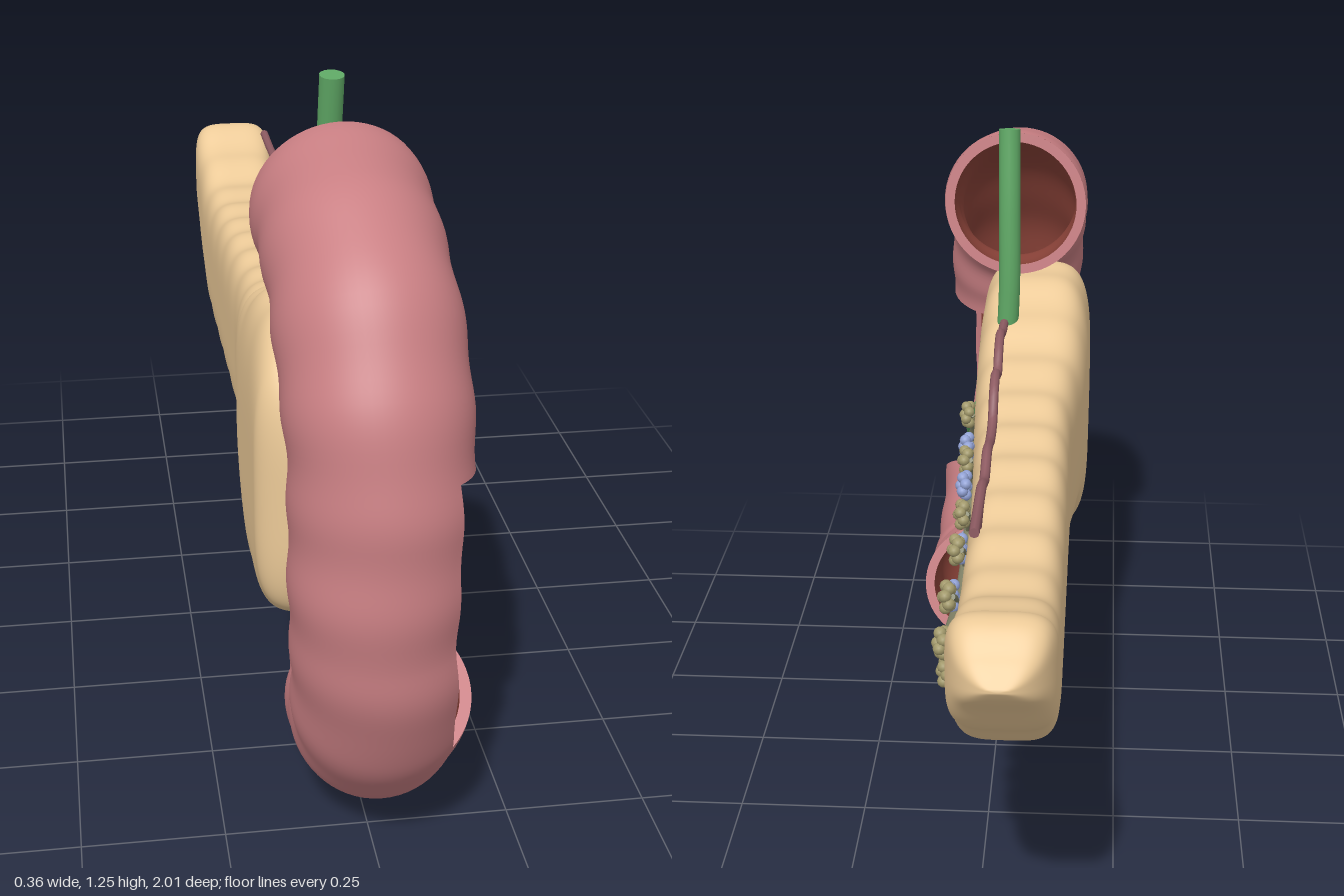
import * as THREE from 'three';
import { mergeGeometries, mergeVertices } from 'three/addons/utils/BufferGeometryUtils.js';

const V = (x, y, z) => new THREE.Vector3(x, y, z);
const mat = (color) => new THREE.MeshStandardMaterial({ color, side: THREE.DoubleSide });
const pink = mat(0xc97f83), lining = mat(0x8a4238), tan = mat(0xecca98), green = mat(0x5fa865);
const olive = mat(0x85866a), acinus = mat(0xa39a6c), blue = mat(0x93a3d6), vessel = mat(0x8f5c63);

// Surface sampled over u, v in 0..1
function grid(nu, nv, f) {
  const pos = [], idx = [];
  for (let i = 0; i <= nu; i++) for (let j = 0; j <= nv; j++) pos.push(...f(i / nu, j / nv).toArray());
  for (let i = 0; i < nu; i++) for (let j = 0; j < nv; j++) {
    const a = i * (nv + 1) + j, b = a + nv + 1;
    idx.push(a, b, a + 1, b, b + 1, a + 1);
  }
  const g = new THREE.BufferGeometry();
  g.setAttribute('position', new THREE.Float32BufferAttribute(pos, 3));
  g.setIndex(idx);
  return g;
}

function smooth(...geos) {
  const g = mergeVertices(mergeGeometries(geos), 1e-4);
  g.computeVertexNormals();
  return g;
}

function add(parent, name, geometry, material) {
  const m = new THREE.Mesh(geometry, material);
  m.name = name;
  parent.add(m);
  return m;
}

// Tube with flat end caps
function tube(parent, name, pts, r, material, seg = 24, sides = 10) {
  const c = new THREE.CatmullRomCurve3(pts);
  add(parent, name, new THREE.TubeGeometry(c, seg, r, sides), material);
  for (const t of [0, 1]) {
    const cap = add(parent, name + 'Cap', new THREE.CircleGeometry(r, sides), material);
    const p = c.getPointAt(t), d = c.getTangentAt(t);
    cap.position.copy(p);
    cap.lookAt(p.clone().addScaledVector(d, t ? 1 : -1));
  }
}

const frontX = (z) => 0.03 + 0.03 * THREE.MathUtils.smoothstep(z, -0.4, 0.4);

// Gland body: stations of z, top, bottom lofted with rounded-box sections
function glandGeometry() {
  const st = [
    [0.695, 0.6, 0.6], [0.685, 0.71, 0.47], [0.655, 0.81, 0.385], [0.6, 0.88, 0.345], [0.5, 0.905, 0.32],
    [0.43, 0.895, 0.325], [0.37, 0.875, 0.365], [0.31, 0.85, 0.41], [0.22, 0.815, 0.42], [0.1, 0.79, 0.42],
    [0, 0.775, 0.42], [-0.12, 0.765, 0.425], [-0.25, 0.755, 0.425], [-0.4, 0.74, 0.425], [-0.53, 0.73, 0.425],
    [-0.64, 0.725, 0.435], [-0.74, 0.745, 0.485], [-0.83, 0.775, 0.55], [-0.92, 0.8, 0.635],
    [-0.965, 0.765, 0.68], [-1, 0.725, 0.725],
  ];
  const c = new THREE.CatmullRomCurve3(st.map(([z, t, b]) => V(t, b, z)));
  const sp = (v) => Math.sign(v) * Math.abs(v) ** 0.5;
  const round = (d) => Math.sqrt(Math.max(0, 1 - (1 - Math.min(1, d)) ** 2));
  return smooth(grid(220, 120, (u, v) => {
    const p = c.getPoint(u), z = p.z, a = v * Math.PI * 2;
    const e = round((0.695 - z) / 0.07) * round((z + 1) / 0.14);
    const back = -0.15 - 0.03 * THREE.MathUtils.smoothstep(z, 0, 0.4);
    const cx = (frontX(z) + back) / 2, hx = (frontX(z) - back) / 2 * e;
    const hy = (p.x - p.y) / 2 + 0.005 * e * Math.sin(z * 48);
    let x = cx + hx * sp(Math.cos(a));
    const y = (p.x + p.y) / 2 + hy * sp(Math.sin(a));
    // Shallow window in the head
    if (x > cx) {
      const d = (Math.abs((z - 0.39) / 0.17) ** 2.5 + Math.abs((y - 0.635) / 0.14) ** 2.5) ** 0.4;
      x -= 0.07 * (1 - THREE.MathUtils.smoothstep(d, 0.92, 1.02));
    }
    return V(x, y, z);
  }));
}

// Curved bowel: hollow wall with a window cut out of its left side
function bowel(parent) {
  const c = new THREE.CatmullRomCurve3([
    [-0.015, 1.055, 0.47], [-0.015, 1.035, 0.6], [-0.012, 0.965, 0.735], [-0.005, 0.83, 0.82], [0, 0.65, 0.852],
    [0, 0.48, 0.847], [0.01, 0.33, 0.81], [0.02, 0.21, 0.71], [0.03, 0.148, 0.55], [0.05, 0.205, 0.355],
  ].map((p) => V(...p)));
  const s0 = 0.36, s1 = 0.665, a0 = -1.35, a1 = 0.8, full = Math.PI * 2;
  const at = (s, a, inner) => {
    const n = c.getTangentAt(s).cross(V(1, 0, 0)).normalize();
    const r = 0.15 - 0.018 * THREE.MathUtils.smoothstep(s, 0.8, 1)
      + 0.0025 * Math.sin(s * 68) + 0.0015 * Math.sin(s * 31 + a * 2) - (inner ? 0.02 : 0);
    return c.getPointAt(s).add(V(r * Math.cos(a), 0, 0)).addScaledVector(n, r * Math.sin(a));
  };
  const lerp = THREE.MathUtils.lerp;
  const patch = (sa, sb, aa, ab, nu, nv, inner) =>
    grid(nu, nv, (u, v) => at(lerp(sa, sb, u), inner ? lerp(aa, ab, v) : lerp(ab, aa, v), inner));
  const wall = (inner) => smooth(
    patch(0, s0, a1, a1 + full - (a1 - a0), 40, 42, inner), patch(0, s0, a0, a1, 40, 22, inner),
    patch(s0, s1, a1, a0 + full, 40, 42, inner),
    patch(s1, 1, a1, a0 + full, 40, 42, inner), patch(s1, 1, a0, a1, 40, 22, inner));
  add(parent, 'bowelWall', wall(false), pink);
  add(parent, 'bowelLining', wall(true), lining);
  // Cut rims joining wall and lining
  const rim = (sa, sb, aa, ab, n) => {
    const g = grid(n, 1, (u, v) => at(lerp(sa, sb, u), lerp(aa, ab, u), v > 0.5));
    g.computeVertexNormals();
    add(parent, 'bowelRim', g, pink);
  };
  rim(0, 0, 0, full, 64);
  rim(1, 1, 0, full, 64);
  rim(s0, s0, a0, a1, 22);
  rim(s1, s1, a0, a1, 22);
  rim(s0, s1, a0, a0, 40);
  rim(s0, s1, a1, a1, 40);
}

// Small bunch of beads
function cluster(parent, name, z, y, material) {
  const g = new THREE.Group(), bead = new THREE.IcosahedronGeometry(0.011, 1);
  g.name = name;
  g.position.set(frontX(z) + 0.008, y, z);
  for (let i = 0; i < 9; i++) {
    const r = i ? 0.018 : 0, a = i * Math.PI / 4 + z * 9;
    add(g, 'bead', bead, material).position.set(i ? (i % 2) * 0.006 : 0.01, r * Math.sin(a), r * Math.cos(a));
  }
  parent.add(g);
}

export function createModel() {
  const group = new THREE.Group();
  bowel(group);
  add(group, 'glandBody', glandGeometry(), tan);

  // Bile duct
  tube(group, 'bileDuct', [V(-0.008, 1.245, 0.35), V(-0.01, 1.08, 0.325), V(-0.01, 0.9, 0.312), V(0, 0.76, 0.318),
    V(0.02, 0.68, 0.355), V(0.05, 0.61, 0.42), V(0.075, 0.53, 0.53), V(0.085, 0.43, 0.69)], 0.022, green, 60, 16);

  // Main duct along the gland and its hooked side branches
  const on = (z, y, o = 0.004) => V(frontX(z) + o, y, z);
  tube(group, 'mainDuct', [on(0.42, 0.61, -0.01), on(0.25, 0.61), on(0, 0.61), on(-0.25, 0.608), on(-0.45, 0.61),
    on(-0.6, 0.637), on(-0.78, 0.685)], 0.011, olive, 60);
  tube(group, 'headBranch', [on(0.37, 0.61, -0.02), on(0.41, 0.65, -0.03), on(0.47, 0.67, -0.04),
    on(0.545, 0.662, -0.04)], 0.008, olive);
  tube(group, 'headBranch', [on(0.36, 0.61, -0.02), on(0.39, 0.67, -0.04), on(0.37, 0.72, -0.05)], 0.006, olive);
  tube(group, 'headBranch', [on(0.25, 0.61, -0.02), on(0.29, 0.56, -0.05), on(0.27, 0.51, -0.05)], 0.005, olive);

  // Branches ending in bead clusters
  for (const [z, y] of [[0.1, 0.72], [0.07, 0.52], [-0.13, 0.72], [-0.12, 0.53], [-0.33, 0.7], [-0.34, 0.53],
    [-0.475, 0.7], [-0.545, 0.53], [-0.67, 0.71], [-0.715, 0.595]]) {
    const b = z + 0.11, by = 0.61 + 0.11 * Math.max(0, -0.48 - b);
    tube(group, 'sideBranch', [on(b, by), on(z + 0.07, by + (y - by) * 0.55), on(z, y)], 0.006, olive, 12, 7);
    cluster(group, 'glandCluster', z, y, acinus);
  }
  cluster(group, 'glandCluster', -0.78, 0.685, acinus);
  for (const [z, y] of [[-0.04, 0.71], [-0.235, 0.715], [-0.06, 0.51], [-0.4, 0.665], [-0.465, 0.535],
    [-0.59, 0.67], [-0.645, 0.565]]) cluster(group, 'isletCluster', z, y, blue);

  // Wavy artery over the top edge with short feeders
  tube(group, 'artery', [[0.21, 0.878], [0.13, 0.885], [0.07, 0.905], [0.02, 0.893], [-0.03, 0.86], [-0.09, 0.882],
    [-0.14, 0.87], [-0.19, 0.825], [-0.26, 0.818], [-0.35, 0.835], [-0.43, 0.815], [-0.5, 0.835], [-0.6, 0.836],
    [-0.69, 0.838]].map(([z, y]) => V(-0.005, y, z)), 0.009, vessel, 80, 8);
  for (const [z, y] of [[-0.04, 0.86], [-0.26, 0.818], [-0.43, 0.815]])
    tube(group, 'arteryFeeder', [V(-0.005, y, z), V(0, y - 0.04, z - 0.015), V(0.005, y - 0.09, z - 0.005)],
      0.006, vessel, 12, 7);
  return group;
}
